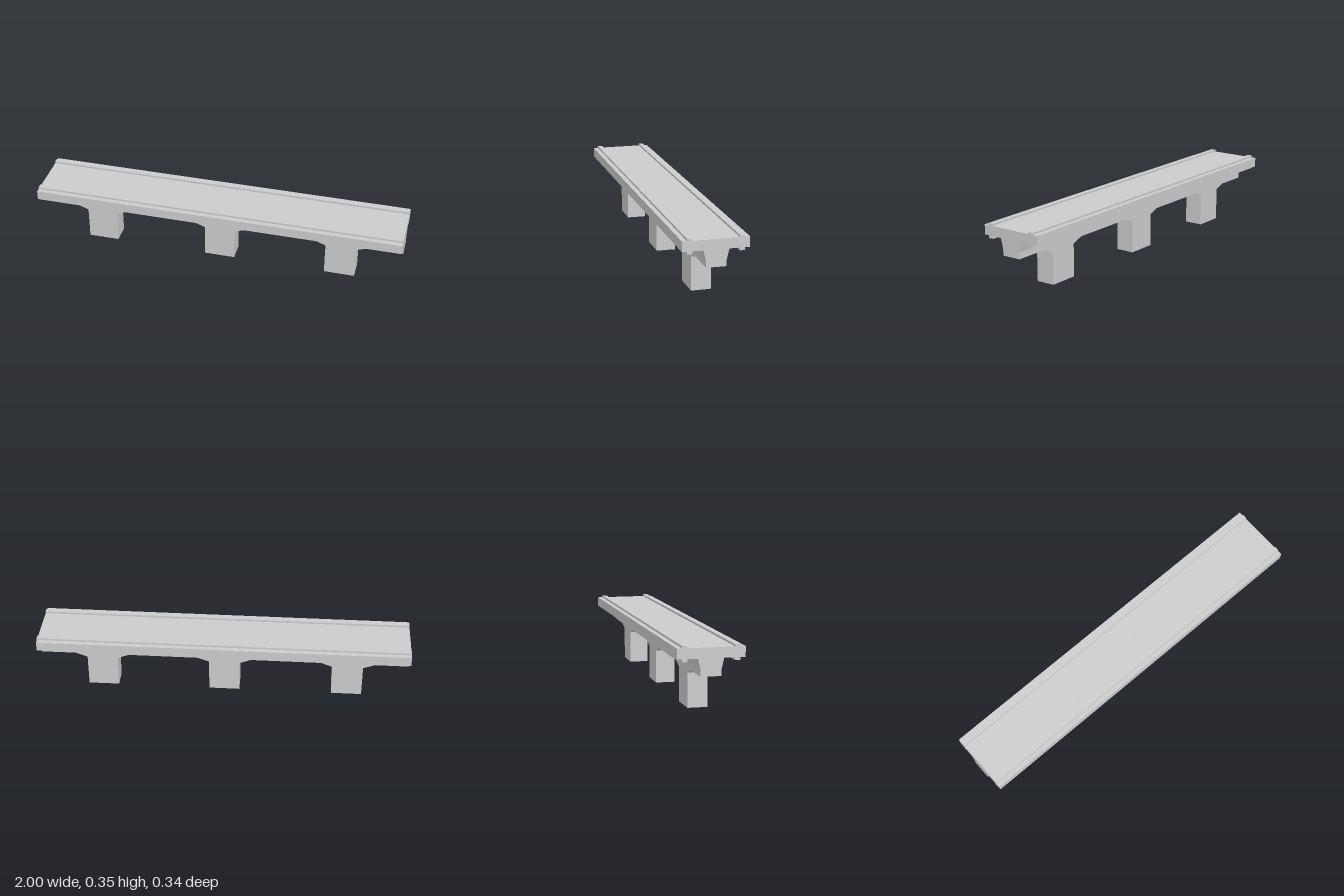
import * as THREE from 'three';

export function createModel() {
  const group = new THREE.Group();
  const material = new THREE.MeshStandardMaterial({ color: 0xcccccc, flatShading: true });
  const add = (name, geometry) => {
    const mesh = new THREE.Mesh(geometry, material);
    mesh.name = name;
    group.add(mesh);
    return mesh;
  };
  const extrude = (points, depth) => new THREE.ExtrudeGeometry(
    new THREE.Shape(points.map(([x, y]) => new THREE.Vector2(x, y))),
    { depth, bevelEnabled: false });
  // Full-length beam spanning the given heights and depths
  const beam = (name, y0, y1, z0, z1) => {
    const mesh = add(name, new THREE.BoxGeometry(2, y1 - y0, z1 - z0));
    mesh.position.set(0, (y0 + y1) / 2, (z0 + z1) / 2);
  };

  // Deck slab with edge rails that show above and below it
  beam('deck', 0.287, 0.339, -0.168, 0.168);
  beam('frontRail', 0.273, 0.35, 0.116, 0.143);
  beam('backRail', 0.273, 0.35, -0.143, -0.117);

  // Flared neck between girder and deck, swept along x
  const neck = extrude([[-0.05, 0.233], [0.053, 0.233], [0.066, 0.288], [-0.063, 0.288]], 2);
  neck.rotateY(Math.PI / 2).translate(-1, 0, 0);
  add('flaredNeck', neck);

  // Girder and piers in one side profile, with sloped haunches beside each pier
  const profile = [[-1, 0.233], [-1, 0.2]];
  for (const x of [-0.673, -0.002, 0.667]) {
    profile.push([x - 0.146, 0.2], [x - 0.083, 0.177], [x - 0.083, 0],
      [x + 0.083, 0], [x + 0.083, 0.177], [x + 0.146, 0.2]);
  }
  profile.push([1, 0.2], [1, 0.233]);
  add('girderAndPiers', extrude(profile, 0.103).translate(0, 0, -0.053));

  return group;
}
